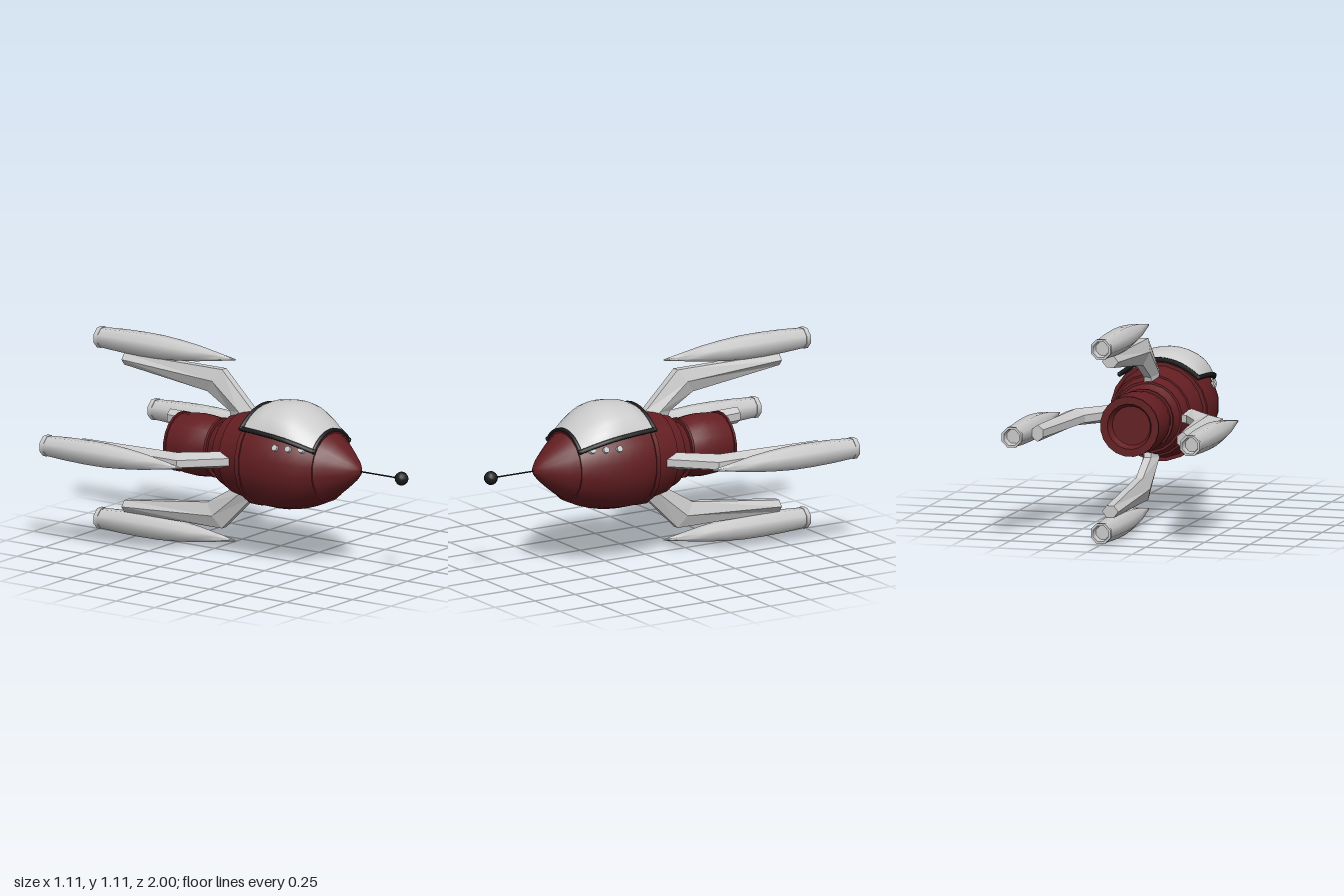
import * as THREE from 'three';
import { toCreasedNormals } from 'three/addons/utils/BufferGeometryUtils.js';

const AXIS_Y = 0.555; // height of the ship's long axis

const mat = (color, side = THREE.FrontSide) => new THREE.MeshStandardMaterial({ color, side });
const grey = mat(0xcccccc);
const glass = mat(0xcccccc, THREE.DoubleSide);
const red = mat(0x641e22);
const black = mat(0x1a1a1a);

function add(parent, name, geometry, material) {
  const mesh = new THREE.Mesh(geometry, material);
  mesh.name = name;
  parent.add(mesh);
  return mesh;
}

// Lathe around z from [z, radius] pairs, listed tail to nose
function latheZ(profile, sides, crease = 0.6, scale = 1) {
  const pts = profile.map(([z, r]) => new THREE.Vector2(r * scale, z));
  const geo = new THREE.LatheGeometry(pts, sides);
  geo.rotateY(Math.PI / sides);
  geo.rotateX(Math.PI / 2);
  return toCreasedNormals(geo, crease);
}

// Smooth value of r at z, from [z, r] pairs in rising z
function sample(table, z) {
  for (let i = 1; i < table.length; i++) {
    if (z <= table[i][0] || i === table.length - 1) {
      const [z0, r0] = table[i - 1], [z1, r1] = table[i];
      return r0 + (r1 - r0) * (z - z0) / (z1 - z0);
    }
  }
}

// Canopy surface: u runs rear to front, v from -1 to 1 across
const Z_REAR = 0.075, Z_FRONT = 0.505;
const crown = [[0.075, 0.278], [0.115, 0.3], [0.16, 0.314], [0.25, 0.322], [0.3, 0.318], [0.355, 0.302], [0.42, 0.264], [0.47, 0.228], [0.505, 0.197]];
const sill = [[0.075, 0.288], [0.2, 0.29], [0.3, 0.284], [0.36, 0.272], [0.42, 0.25], [0.505, 0.197]];
function canopyPoint(u, v) {
  const z = THREE.MathUtils.lerp(Z_REAR, Z_FRONT, u);
  const angle = v * THREE.MathUtils.degToRad(THREE.MathUtils.lerp(49, 55, u));
  const r = THREE.MathUtils.lerp(sample(crown, z), sample(sill, z), Math.abs(v) ** 4);
  return new THREE.Vector3(r * Math.sin(angle), r * Math.cos(angle), z);
}

function canopyGeometry(nu = 16, nv = 12) {
  const geo = new THREE.PlaneGeometry(1, 1, nv, nu);
  const pos = geo.attributes.position;
  for (let i = 0; i < pos.count; i++) {
    const p = canopyPoint(0.5 - pos.getY(i), pos.getX(i) * 2);
    pos.setXYZ(i, p.x, p.y, p.z);
  }
  geo.computeVertexNormals();
  return geo;
}

// Tube along one edge of the canopy
function frameTube(pointAt, radius) {
  const pts = Array.from({ length: 13 }, (_, i) => pointAt(i / 12));
  return new THREE.TubeGeometry(new THREE.CatmullRomCurve3(pts), 24, radius, 6);
}

// Bent strut with a hexagonal section; each station is [outer z, outer y, inner z, inner y]
function strutGeometry() {
  const stations = [
    [0.03, 0.2, -0.12, 0.15],
    [0.01, 0.235, -0.14, 0.215],
    [-0.19, 0.433, -0.285, 0.302],
    [-0.825, 0.433, -0.825, 0.37],
  ];
  const rings = stations.map(([oz, oy, iz, iy]) => {
    const mz = (oz + iz) / 2, my = (oy + iy) / 2;
    return [[0.02, oy, oz], [0.045, my, mz], [0.02, iy, iz], [-0.02, iy, iz], [-0.045, my, mz], [-0.02, oy, oz]];
  });
  const verts = [];
  for (let i = 0; i < rings.length - 1; i++) {
    for (let k = 0; k < 6; k++) {
      const n = (k + 1) % 6;
      const a = rings[i][k], b = rings[i][n], c = rings[i + 1][n], d = rings[i + 1][k];
      verts.push(...a, ...b, ...c, ...a, ...c, ...d);
    }
  }
  const end = rings[rings.length - 1], start = rings[0];
  for (let k = 1; k < 5; k++) {
    verts.push(...end[0], ...end[k], ...end[k + 1]);
    verts.push(...start[0], ...start[k + 1], ...start[k]);
  }
  const geo = new THREE.BufferGeometry();
  geo.setAttribute('position', new THREE.Float32BufferAttribute(verts, 3));
  geo.computeVertexNormals();
  return geo;
}

export function createModel() {
  const model = new THREE.Group();
  model.name = 'rocketShip';
  const ship = new THREE.Group();
  ship.name = 'ship';
  ship.position.y = AXIS_Y;
  model.add(ship);

  // Main hull with stepped tail rings
  const hull = [
    [-0.22, 0], [-0.21, 0.14], [-0.2, 0.142], [-0.135, 0.18], [-0.135, 0.192], [-0.07, 0.212], [-0.07, 0.222],
    [0.01, 0.238], [0.065, 0.248], [0.065, 0.267], [0.09, 0.267], [0.09, 0.259], [0.14, 0.265], [0.2, 0.267],
    [0.26, 0.263], [0.32, 0.254], [0.38, 0.24], [0.44, 0.22], [0.51, 0.189], [0.51, 0],
  ];
  add(ship, 'hull', latheZ(hull, 20), red);

  // Pointed nose
  const nose = [[0.505, 0.184], [0.56, 0.145], [0.61, 0.105], [0.655, 0.066], [0.685, 0.032], [0.697, 0.012], [0.7, 0]];
  add(ship, 'noseCone', latheZ(nose, 20), red);

  // Engine with a recessed nozzle and rim
  const engine = [
    [-0.435, 0], [-0.435, 0.105], [-0.458, 0.118], [-0.472, 0.122], [-0.472, 0.162], [-0.46, 0.162],
    [-0.46, 0.152], [-0.4, 0.163], [-0.33, 0.168], [-0.27, 0.163], [-0.212, 0.15], [-0.212, 0.163], [-0.197, 0.163], [-0.197, 0.13],
  ];
  add(ship, 'engine', latheZ(engine, 20), red);

  // Nose antenna
  const rod = add(ship, 'antennaRod', new THREE.CylinderGeometry(0.004, 0.004, 0.28, 8), black);
  rod.rotation.x = Math.PI / 2;
  rod.position.z = 0.82;
  add(ship, 'antennaBall', new THREE.SphereGeometry(0.037, 12, 8), black).position.z = 0.963;

  // Canopy and its dark frame
  add(ship, 'canopy', canopyGeometry(), glass);
  add(ship, 'canopyRearFrame', frameTube(t => canopyPoint(0, t * 2 - 1), 0.013), black);
  add(ship, 'canopyFrontFrame', frameTube(t => canopyPoint(1, t * 2 - 1), 0.01), black);
  for (const side of [-1, 1]) {
    add(ship, side > 0 ? 'canopyLeftFrame' : 'canopyRightFrame', frameTube(t => canopyPoint(t, side), 0.013), black);
    for (const end of [0, 1]) {
      add(ship, 'canopyFrameCorner', new THREE.SphereGeometry(0.014, 8, 6), black).position.copy(canopyPoint(end, side));
    }

    // Three portholes below the canopy
    for (const [z, r] of [[0.446, 0.218], [0.377, 0.241], [0.305, 0.257]]) {
      const angle = side * Math.acos(0.117 / r);
      const port = add(ship, 'porthole', new THREE.CylinderGeometry(0.017, 0.017, 0.022, 12), grey);
      port.position.set(r * Math.sin(angle), r * Math.cos(angle), z);
      port.rotation.z = -angle;
    }
  }

  // Four struts, each carrying a slim pod with a hollow tail
  const pod = [
    [-0.96, 0], [-0.96, 0.036], [-1, 0.042], [-1, 0.054], [-0.975, 0.054], [-0.975, 0.051], [-0.85, 0.058],
    [-0.72, 0.061], [-0.6, 0.06], [-0.48, 0.052], [-0.36, 0.04], [-0.24, 0.022], [-0.12, 0.004], [-0.112, 0],
  ];
  const strutGeo = strutGeometry();
  const podGeo = latheZ(pod, 8, 0.9, 1 / Math.cos(Math.PI / 8));
  ['top', 'right', 'bottom', 'left'].forEach((name, i) => {
    const arm = new THREE.Group();
    arm.name = name + 'Arm';
    arm.rotation.z = i * Math.PI / 2;
    add(arm, 'strut', strutGeo, grey);
    add(arm, 'pod', podGeo, grey).position.y = 0.493;
    ship.add(arm);
  });

  return model;
}
